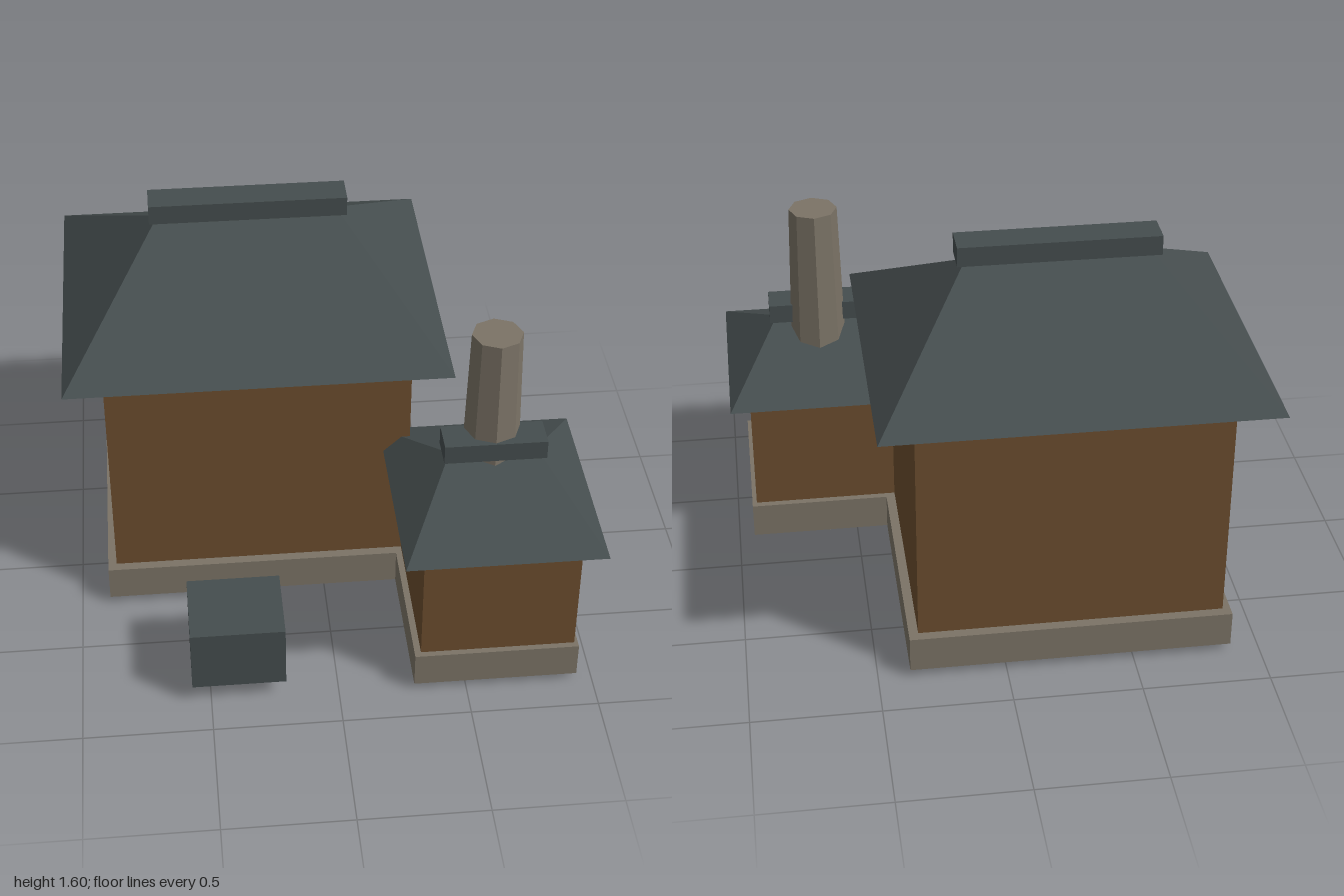
import * as THREE from 'three';

const flat = (name, color) => {
  const m = new THREE.MeshStandardMaterial({ color, side: THREE.DoubleSide, flatShading: true });
  m.name = name;
  return m;
};

// Box without its underside, given by its extents
function openBox(name, mat, [x0, x1], [y0, y1], [z0, z1]) {
  const g = new THREE.BoxGeometry(x1 - x0, y1 - y0, z1 - z0);
  const index = Array.from(g.index.array);
  index.splice(18, 6); // bottom face
  g.setIndex(index);
  g.clearGroups();
  const mesh = new THREE.Mesh(g, mat);
  mesh.name = name;
  mesh.position.set((x0 + x1) / 2, (y0 + y1) / 2, (z0 + z1) / 2);
  return mesh;
}

// Hipped roof shell: rectangular eaves rising to a ridge along x
function hipRoof(name, mat, [x0, x1], [y0, y1], [z0, z1], [r0, r1]) {
  const zm = (z0 + z1) / 2;
  const A = [x0, y0, z1], B = [x1, y0, z1], C = [x1, y0, z0], D = [x0, y0, z0];
  const L = [r0, y1, zm], R = [r1, y1, zm];
  const tris = [A, B, R, A, R, L, C, D, L, C, L, R, B, C, R, D, A, L];
  const g = new THREE.BufferGeometry();
  g.setAttribute('position', new THREE.Float32BufferAttribute(tris.flat(), 3));
  g.computeVertexNormals();
  const mesh = new THREE.Mesh(g, mat);
  mesh.name = name;
  return mesh;
}

export function createModel() {
  const wood = flat('brown wood', 0x6b4d2e);
  const stone = flat('grey stone', 0x7b7366);
  const slate = flat('dark slate', 0x454d4e);
  const model = new THREE.Group();
  model.name = 'house';

  // Each wing: plinth, walls, hipped roof and ridge cap
  const wings = [
    { name: 'mainWing', px: [-0.885, 0.375], pz: [-0.81, 0.245],
      wx: [-0.85, 0.34], wz: [-0.785, 0.22], top: 1.145,
      ex: [-1, 0.485], ez: [-0.94, 0.365], ridge: [-0.605, 0.09], peak: 1.525,
      cx: [-0.64, 0.13], cz: [-0.353, -0.223] },
    { name: 'smallWing', px: [0.295, 0.938], pz: [0.17, 0.857],
      wx: [0.318, 0.92], wz: [0.18, 0.845], top: 0.695,
      ex: [0.235, 1], ez: [0.077, 0.937], ridge: [0.45, 0.785], peak: 0.897,
      cx: [0.422, 0.815], cz: [0.442, 0.572] },
  ];
  for (const w of wings) {
    const wing = new THREE.Group();
    wing.name = w.name;
    wing.add(
      openBox('plinth', stone, w.px, [0.03, 0.175], w.pz),
      openBox('walls', wood, w.wx, [0.187, w.top], w.wz),
      hipRoof('roof', slate, w.ex, [w.top, w.peak], w.ez, w.ridge),
      openBox('ridgeCap', slate, w.cx, [w.peak, w.peak + 0.078], w.cz),
    );
    model.add(wing);
  }

  // Hollow octagonal footing with a closed top
  const footing = new THREE.Mesh(new THREE.LatheGeometry(
    [[0.25, 0], [0.232, 0.19], [0, 0.19]].map(([r, y]) => new THREE.Vector2(r, y)), 8), stone);
  footing.name = 'chimneyFooting';
  footing.position.set(0.618, 0, 0.46);
  model.add(footing);

  // Tapered octagonal chimney
  const chimney = new THREE.Mesh(new THREE.CylinderGeometry(0.097, 0.128, 1.215, 8), stone);
  chimney.name = 'chimney';
  chimney.position.set(0.618, 0.7975, 0.456);
  model.add(chimney);

  // Crate in front of the main wing
  model.add(openBox('crate', slate, [-0.572, -0.207], [0.083, 0.347], [0.53, 0.85]));

  return model;
}
